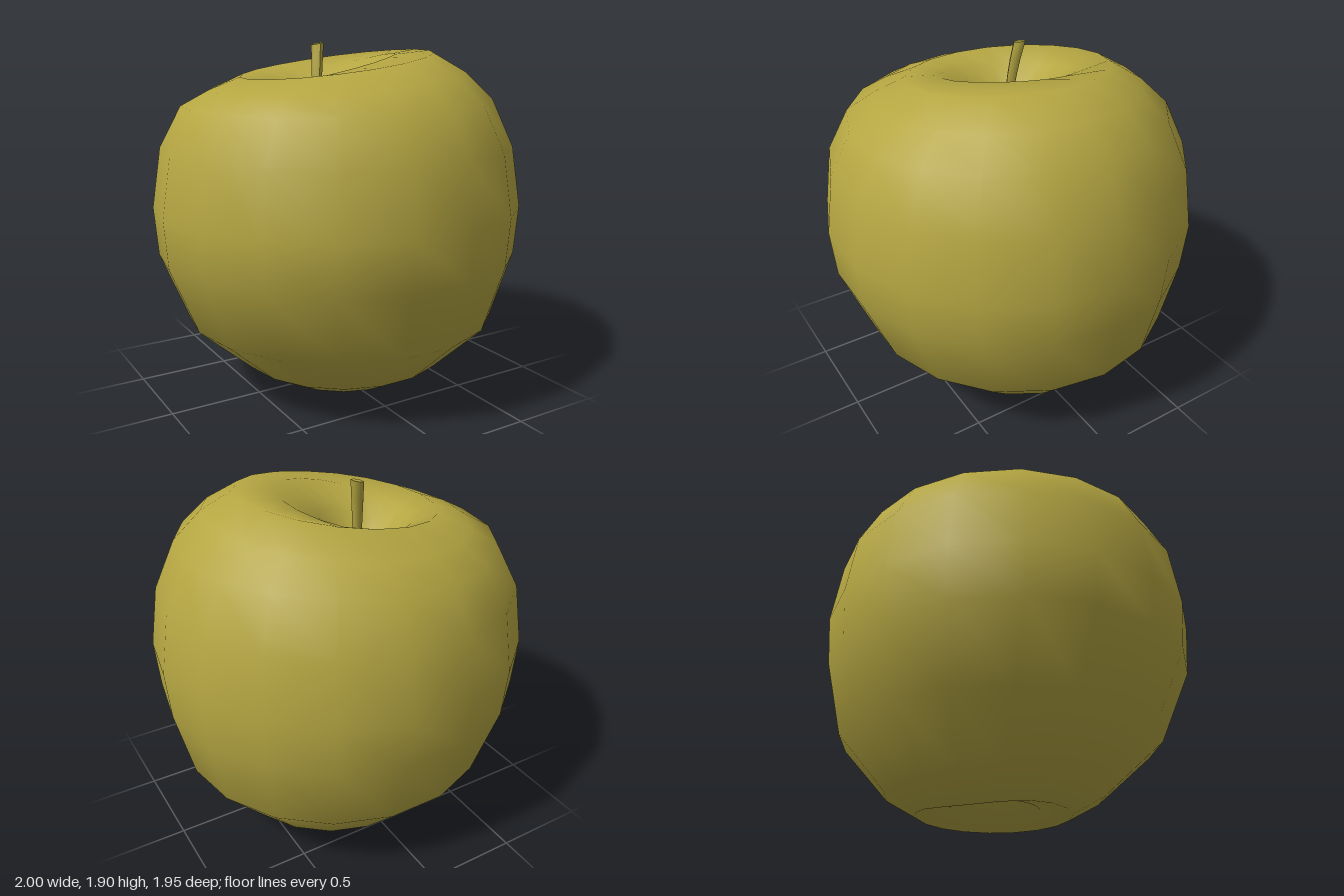
import * as THREE from 'three';
import { mergeVertices } from 'three/addons/utils/BufferGeometryUtils.js';

const V = (x, y, z) => new THREE.Vector3(x, y, z);
const smooth = THREE.MathUtils.smoothstep;

export function createModel() {
  const group = new THREE.Group();
  const skin = new THREE.MeshStandardMaterial({ color: 0xb5a642 });
  skin.name = 'olive';

  function add(name, geometry, parent = group) {
    const mesh = new THREE.Mesh(geometry, skin);
    mesh.name = name;
    parent.add(mesh);
    return mesh;
  }

  // Weld the seam and poles so the surface shades smoothly
  function weld(geometry) {
    geometry.deleteAttribute('uv');
    geometry.deleteAttribute('normal');
    const welded = mergeVertices(geometry, 1e-4);
    welded.computeVertexNormals();
    return welded;
  }

  // Fruit: a turned profile (radius, height) with a hollow at each end
  const profile = [
    [0, 0.23], [0.1, 0.17], [0.24, 0.07], [0.41, 0.04], [0.58, 0.135], [0.86, 0.41],
    [0.98, 0.78], [1, 1.04], [0.95, 1.36], [0.835, 1.575], [0.69, 1.69], [0.52, 1.787],
    [0.35, 1.75], [0.18, 1.62], [0.06, 1.49], [0, 1.45],
  ].map(([r, y]) => new THREE.Vector2(r, y));
  const fruit = new THREE.LatheGeometry(profile, 18, Math.PI / 18);
  const pos = fruit.attributes.position;
  for (let i = 0; i < pos.count; i++) {
    const x = pos.getX(i), y = pos.getY(i), z = pos.getZ(i);
    const r = Math.hypot(x, z);
    // The high shoulder rises lower down the side than the other one sinks
    const shoulder = smooth(y, x > 0 ? 1.4 : 1.58, 1.85);
    const hollow = y > 1 ? 1 - smooth(r, 0.1, 0.52) : 0;
    const base = 1 - smooth(y, 0.03, 0.8);
    // One low bump on the base, towards the back right
    const bump = Math.max(0, -(x + z) / 0.6) ** 4 * smooth(r, 0.3, 0.41)
      * (1 - smooth(r, 0.41, 0.58)) * base;
    // Lopsided shoulders, off-centre tilted hollow and shifted base
    pos.setXYZ(i,
      x - 0.08 * hollow + 0.07 * base,
      y + 0.155 * x * shoulder + 0.3 * (x + z) * hollow - 0.04 * bump,
      z * 0.99 - 0.05 * hollow - 0.05 * base);
  }
  add('fruit', weld(fruit));

  // Stem: a thin leaning stalk that widens towards its cut end
  const path = new THREE.QuadraticBezierCurve3(
    V(-0.09, 1.42, -0.06), V(-0.09, 1.66, -0.06), V(-0.055, 1.895, -0.11));
  const rings = 5, sides = 6;
  const stem = new THREE.CylinderGeometry(0.034, 0.018, 1, sides, rings);
  const sp = stem.attributes.position;
  for (let i = 0; i < sp.count; i++) {
    const p = path.getPoint(THREE.MathUtils.clamp(sp.getY(i) + 0.5, 0, 1));
    sp.setXYZ(i, p.x + sp.getX(i), p.y + sp.getX(i) * 0.2, p.z + sp.getZ(i));
  }
  stem.computeVertexNormals();
  add('stem', stem);

  // Calyx: dried sepals curling out of the lower hollow
  const calyx = new THREE.Group();
  calyx.name = 'calyx';
  calyx.position.set(0.06, 0.22, -0.05);
  group.add(calyx);
  const sepalShape = new THREE.ConeGeometry(0.022, 0.13, 4).translate(0, 0.055, 0);
  for (let i = 0; i < 5; i++) {
    add('sepal', sepalShape, calyx)
      .rotation.set(0, (i / 5) * Math.PI * 2, Math.PI - 0.6, 'YXZ');
  }

  return group;
}
